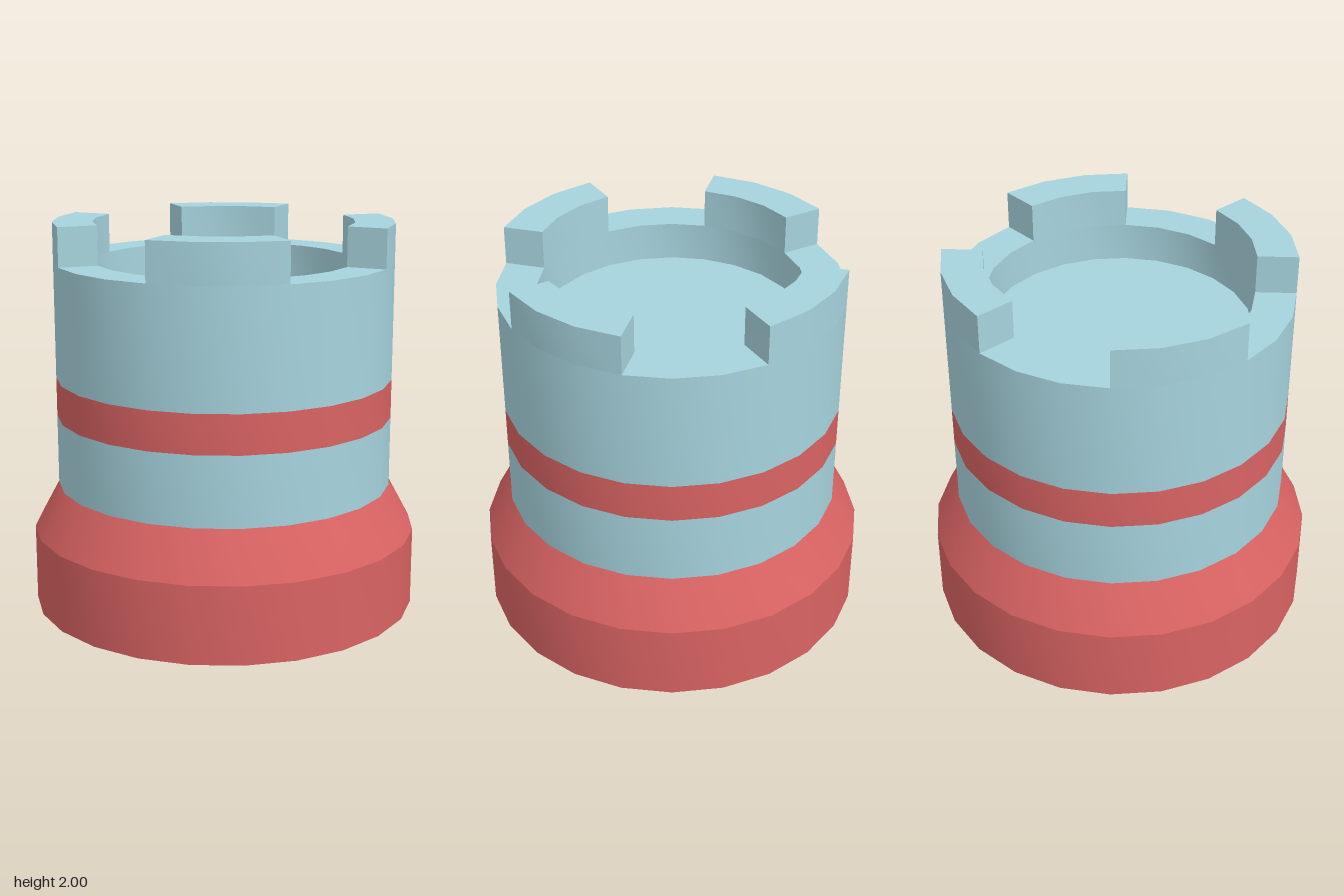
import * as THREE from 'three';
import { toCreasedNormals } from 'three/addons/utils/BufferGeometryUtils.js';

const SIDES = 24;
const OUTER = 0.87, INNER = 0.667; // tower wall radii
const CREASE = 0.4;

const red = new THREE.MeshStandardMaterial({ color: 0xd96363 });
const blue = new THREE.MeshStandardMaterial({ color: 0xa6d3dd });

// Turned part from a profile of [radius, height] points, bottom to top
function turned(name, profile, material) {
  const points = profile.map(([r, y]) => new THREE.Vector2(r, y));
  const mesh = new THREE.Mesh(toCreasedNormals(new THREE.LatheGeometry(points, SIDES), CREASE), material);
  mesh.name = name;
  return mesh;
}

// Curved battlement block covering 45 degrees of the wall
function battlementGeometry(y, height) {
  const outline = [];
  const steps = 3;
  const at = (r, i) => {
    const a = Math.PI / 4 + (i * Math.PI * 2) / SIDES;
    return new THREE.Vector2(r * Math.sin(a), -r * Math.cos(a));
  };
  for (let i = 0; i <= steps; i++) outline.push(at(OUTER, i));
  for (let i = steps; i >= 0; i--) outline.push(at(INNER, i));
  const geometry = new THREE.ExtrudeGeometry(new THREE.Shape(outline), { depth: height, bevelEnabled: false });
  geometry.rotateX(-Math.PI / 2);
  geometry.translate(0, y, 0);
  return toCreasedNormals(geometry, CREASE);
}

export function createModel() {
  const model = new THREE.Group();
  model.name = 'rookTower';

  // Flared foot, shaft and stripe
  model.add(turned('base', [[0, 0], [1, 0], [1, 0.4], [OUTER, 0.64]], red));
  model.add(turned('lowerShaft', [[OUTER, 0.64], [OUTER, 1]], blue));
  model.add(turned('stripe', [[OUTER, 1], [OUTER, 1.2]], red));

  // Upper shaft with rim, inner wall and sunken floor
  model.add(turned('upperShaft', [[OUTER, 1.2], [OUTER, 1.8], [INNER, 1.8], [INNER, 1.6], [0, 1.6]], blue));

  // Four battlements
  const battlements = new THREE.Group();
  battlements.name = 'battlements';
  const geometry = battlementGeometry(1.8, 0.2);
  for (let i = 0; i < 4; i++) {
    const block = new THREE.Mesh(geometry, blue);
    block.name = 'battlement';
    block.rotation.y = (i * Math.PI) / 2;
    battlements.add(block);
  }
  model.add(battlements);

  return model;
}
